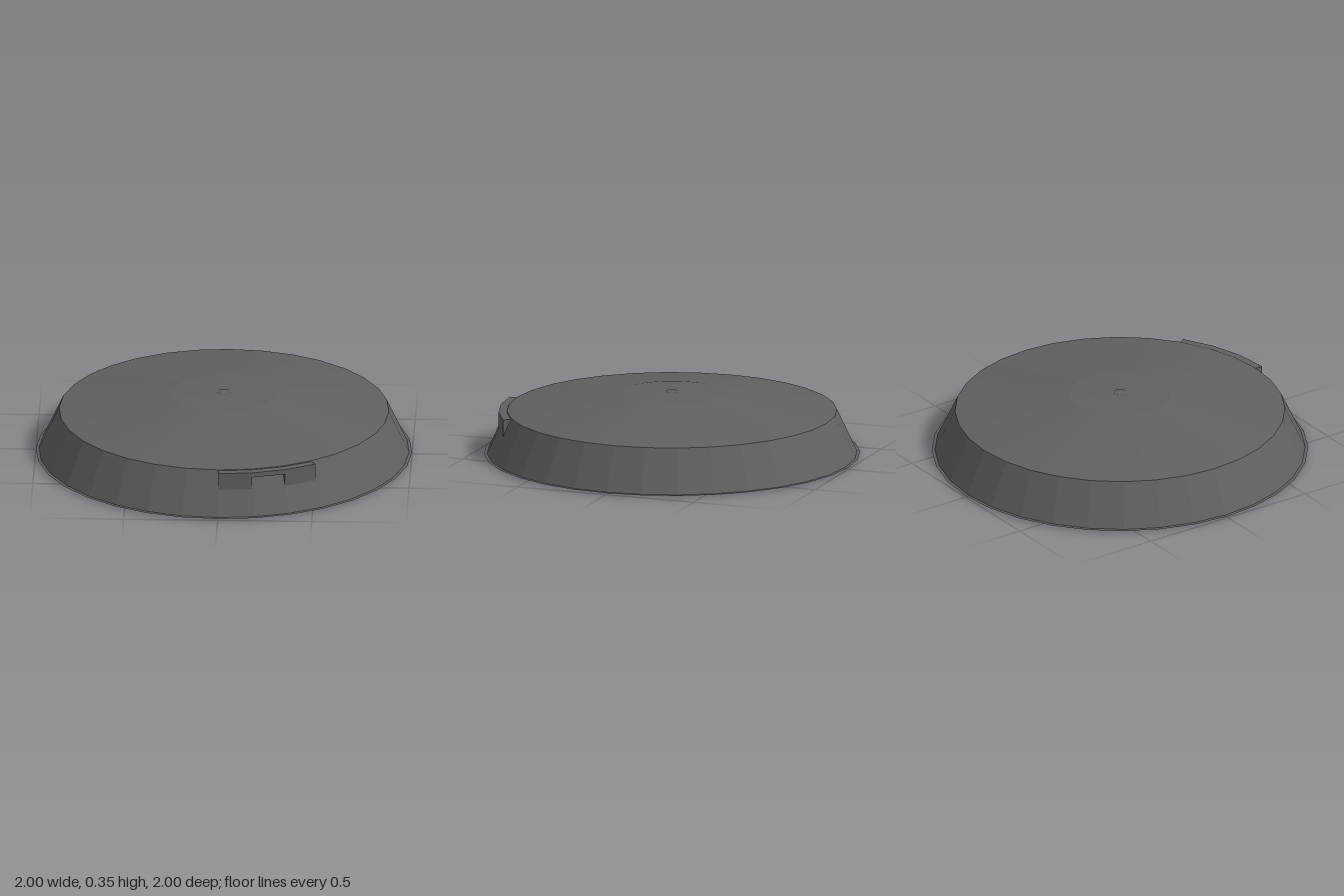
import * as THREE from 'three';

const SIDES = 32;
const STEP = (Math.PI * 2) / SIDES;

// Gives every face its own normal, for crisp facets
function faceted(geometry) {
  const g = geometry.toNonIndexed();
  g.computeVertexNormals();
  return g;
}

// Surface of revolution from [radius, height] pairs listed from the bottom up
function turned(points) {
  return new THREE.LatheGeometry(points.map(([r, y]) => new THREE.Vector2(r, y)), SIDES);
}

// Straight block spanning one side of the rim, between two radii and two heights
function rimBlock(index, inner, outer, bottom, top) {
  const a = index * STEP;
  const b = a + STEP;
  const at = (r, t) => new THREE.Vector2(r * Math.sin(t), -r * Math.cos(t));
  const shape = new THREE.Shape([at(inner, a), at(outer, a), at(outer, b), at(inner, b)]);
  const g = new THREE.ExtrudeGeometry(shape, { depth: top - bottom, bevelEnabled: false });
  g.rotateX(-Math.PI / 2);
  g.translate(0, bottom, 0);
  return g;
}

export function createModel() {
  const group = new THREE.Group();
  const darkGrey = new THREE.MeshStandardMaterial({ color: 0x606060 });
  darkGrey.name = 'dark grey';

  const add = (name, geometry, parent = group) => {
    const mesh = new THREE.Mesh(geometry, darkGrey);
    mesh.name = name;
    parent.add(mesh);
  };

  // Shallow underside, thin lip and sloping wall
  add('underside', turned([[0, 0], [1, 0.008]]));
  add('lip', faceted(turned([[1, 0.008], [0.984, 0.01]])));
  add('wall', faceted(turned([[0.984, 0.01], [0.877, 0.24]])));

  // Low domed lid with a tiny raised centre
  add('lid', turned([[0.877, 0.24], [0.27, 0.335]]));
  add('crown', turned([[0.27, 0.335], [0.035, 0.342]]));
  add('centreCap', turned([[0.035, 0.342], [0.03, 0.346], [0, 0.347]]));

  // Bracket of two blocks joined by a thin bridge
  const bracket = new THREE.Group();
  bracket.name = 'bracket';
  group.add(bracket);
  add('bracketRightBlock', rimBlock(0, 0.874, 0.922, 0.13, 0.236), bracket);
  add('bracketBridge', rimBlock(1, 0.874, 0.922, 0.21, 0.236), bracket);
  add('bracketLeftBlock', rimBlock(2, 0.874, 0.922, 0.13, 0.236), bracket);

  return group;
}
